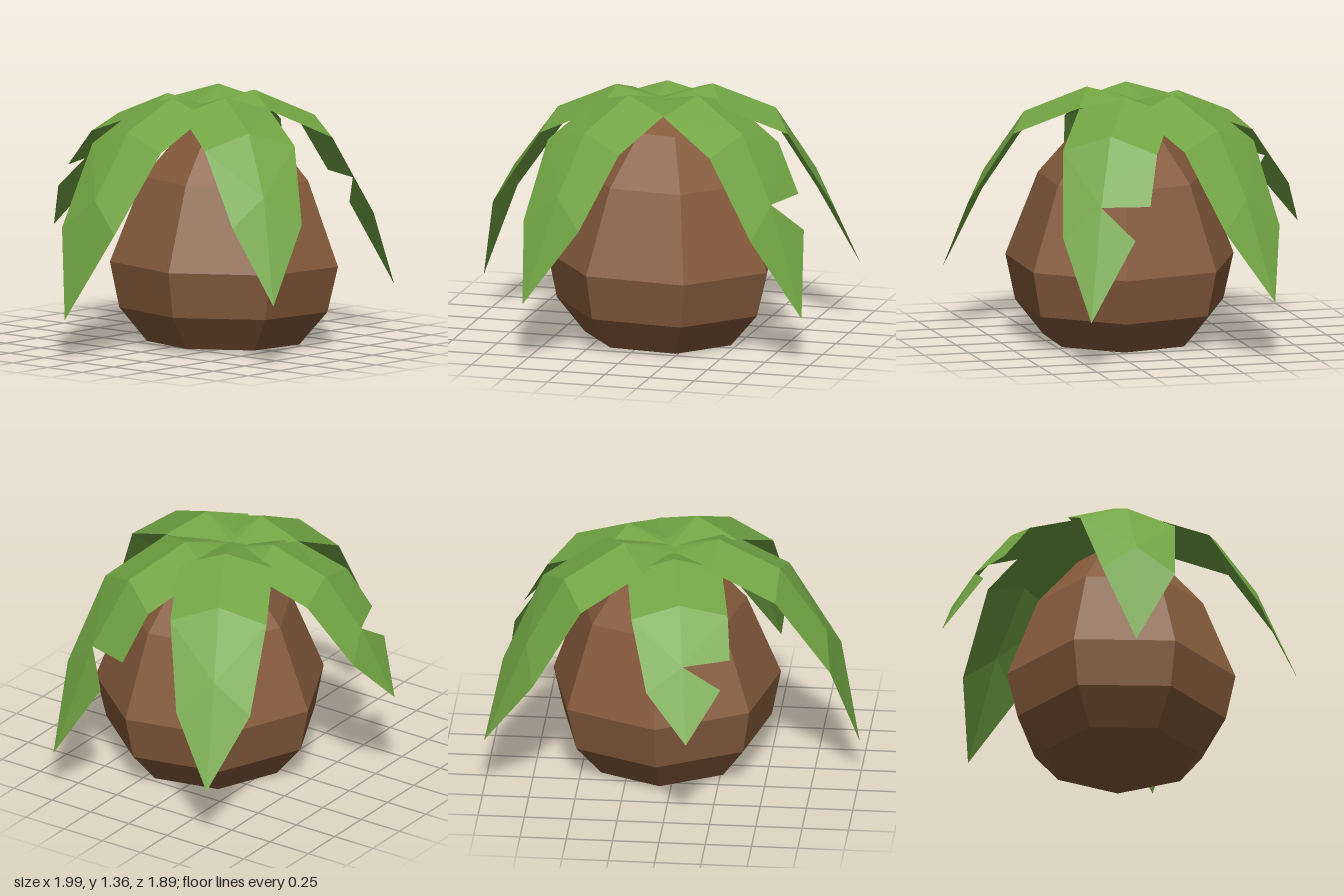
import * as THREE from 'three';

const green = new THREE.MeshStandardMaterial({ color: 0x72a544, flatShading: true, side: THREE.DoubleSide });
const brown = new THREE.MeshStandardMaterial({ color: 0x875c3d, flatShading: true });

// Seven-sided bulb, lightly tilted
function makeBody() {
  const profile = [[0, 0], [0.42, 0], [0.575, 0.185], [0.63, 0.433], [0.455, 0.89], [0.23, 1.155], [0.06, 1.225], [0, 1.225]]
    .map(([r, y]) => new THREE.Vector2(r, y));
  const body = new THREE.Mesh(new THREE.LatheGeometry(profile, 7, Math.PI / 7), brown);
  body.name = 'bulbBody';
  body.position.set(0.06, 0.01, 0.1);
  body.rotation.z = -0.024;
  return body;
}

// Leaf rows: distance and drop of the ridge, then distance, drop and half width of the edges
const ROWS = [
  [0, 0, 0, 0.01, 0.07],
  [0.255, -0.065, 0.25, 0.01, 0.255],
  [0.575, 0.08, 0.587, 0.16, 0.26],
  [0.78, 0.40, 0.826, 0.55, 0.2],
];

// Folded leaf that droops along +z; a torn leaf lacks one triangle near its tip
function makeLeafGeometry({ length, reach, droop, tipDrop, sway, torn }) {
  const positions = [];
  const tri = (...corners) => corners.forEach((p) => positions.push(p.x, p.y, p.z));
  const tip = new THREE.Vector3(-sway * length, -tipDrop, length);
  const rows = ROWS.map(([rz, rd, ez, ed, w], i) => {
    const f = i < 2 ? 1 : droop;
    const point = (x, drop, z) => new THREE.Vector3(x, -drop * f, z * length * (i < 3 ? 1 : reach));
    return { ridge: point(0, rd, rz), edge: (s) => point(s * w, ed, ez) };
  });
  for (const side of [-1, 1]) {
    // Swapping two corners on the mirrored half keeps the faces upward
    const face = (a, b, c) => (side > 0 ? tri(a, b, c) : tri(a, c, b));
    for (let i = 0; i < 3; i++) {
      const r0 = rows[i].ridge, r1 = rows[i + 1].ridge;
      const e0 = rows[i].edge(side), e1 = rows[i + 1].edge(side);
      const cut = e0.clone().lerp(e1, 0.6);
      cut.x += 0.035;
      face(r0, r1, e0);
      face(e0, r1, torn && side > 0 && i === 2 ? cut : e1);
    }
    face(rows[3].ridge, tip, rows[3].edge(side));
  }
  const geometry = new THREE.BufferGeometry();
  geometry.setAttribute('position', new THREE.Float32BufferAttribute(positions, 3));
  geometry.computeVertexNormals();
  return geometry;
}

// Tip position, outer row reach, droop, sideways bend and crown height
const LEAVES = [
  { name: 'leftSideLeaf', tip: [-1, 0.22, -0.1], reach: 1.05, droop: 1.08, sway: 0.04, crown: 1.285 },
  { name: 'frontLeaf', tip: [-0.48, 0.34, 0.94], reach: 1, droop: 1, sway: 0.035, crown: 1.295 },
  { name: 'tornFrontLeaf', tip: [0.96, 0.26, 0.52], reach: 1, droop: 1.1, sway: 0, crown: 1.29 },
  { name: 'rearSideLeaf', tip: [0.99, 0.33, -0.5], reach: 1, droop: 1.08, sway: 0.015, crown: 1.295 },
  { name: 'tornBackLeaf', tip: [-0.14, 0.56, -0.95], reach: 1.02, droop: 0.83, sway: 0, crown: 1.265 },
];

export function createModel() {
  const model = new THREE.Group();
  model.name = 'leafyBulb';
  model.add(makeBody());

  // Crown of leaves around the top
  const crownX = 0.03;
  for (const { name, tip: [x, y, z], reach, droop, sway, crown } of LEAVES) {
    const geometry = makeLeafGeometry({
      length: Math.hypot(x - crownX, z), tipDrop: crown - y, reach, droop, sway, torn: name.startsWith('torn'),
    });
    const leaf = new THREE.Mesh(geometry, green);
    leaf.name = name;
    leaf.position.set(crownX, crown, 0);
    leaf.rotation.y = Math.atan2(x - crownX, z) + sway;
    model.add(leaf);
  }
  return model;
}
